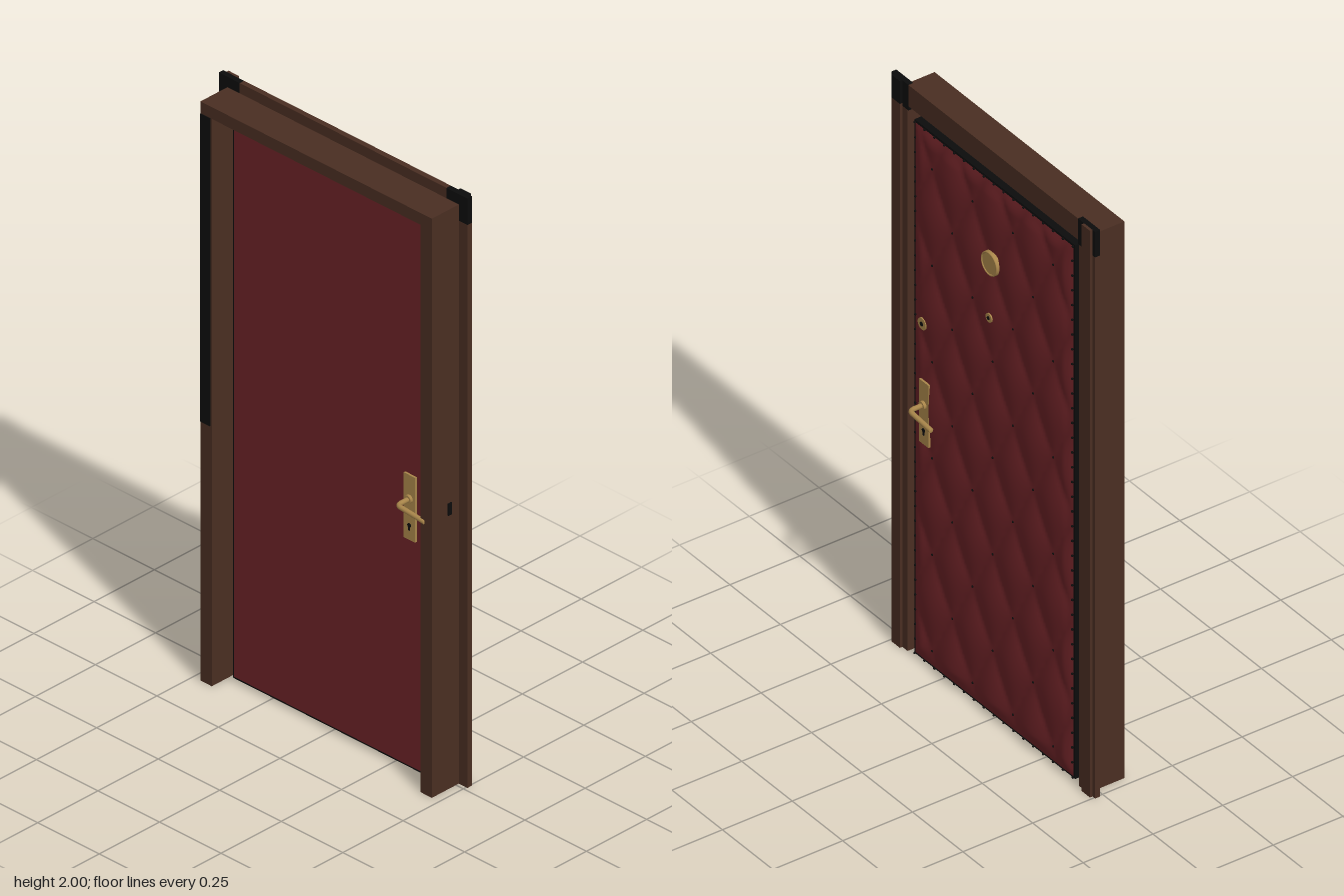
import * as THREE from 'three';

const material = (name, color) => {
  const m = new THREE.MeshStandardMaterial({ color });
  m.name = name;
  return m;
};

export function createModel() {
  const root = new THREE.Group();
  root.name = 'paddedDoor';
  const wood = material('darkWood', 0x4a2e22);
  const red = material('redLeather', 0x6b2226);
  const brass = material('brass', 0xa8854a);
  const black = material('black', 0x0c0c0c);

  const add = (name, geometry, mat, parent = root) => {
    const mesh = new THREE.Mesh(geometry, mat);
    mesh.name = name;
    parent.add(mesh);
    return mesh;
  };
  // Box given by its minimum and maximum on each axis
  const box = (name, mat, x0, x1, y0, y1, z0, z1, parent) => {
    const g = new THREE.BoxGeometry(x1 - x0, y1 - y0, z1 - z0);
    g.translate((x0 + x1) / 2, (y0 + y1) / 2, (z0 + z1) / 2);
    return add(name, g, mat, parent);
  };
  // Round disc facing along z
  const disc = (name, mat, r, depth, x, y, z, parent) => {
    const g = new THREE.CylinderGeometry(r, r, depth, 24).rotateX(Math.PI / 2);
    return add(name, g.translate(x, y, z), mat, parent);
  };

  // Frame: jambs and architraves, mirrored, with a header across
  const frame = new THREE.Group();
  frame.name = 'frame';
  root.add(frame);
  const sideBox = (s, name, mat, a, b, ...rest) =>
    box(name, mat, Math.min(s * a, s * b), Math.max(s * a, s * b), ...rest, frame);
  for (const s of [-1, 1]) {
    sideBox(s, 'jamb', wood, 0.424, 0.47, 0, 1.925, -0.012, 0.1);
    sideBox(s, 'architrave', wood, 0.424, 0.505, 0, 1.91, -0.03, -0.012);
    sideBox(s, 'cornerBlock', black, 0.42, 0.505, 1.91, 2, -0.03, -0.012);
    sideBox(s, 'architraveMoulding', wood, 0.45, 0.492, 0, 1.92, -0.039, -0.03);
    sideBox(s, 'mouldingTop', s > 0 ? black : wood, 0.45, 0.492, 1.92, 2, -0.039, -0.03);
  }
  box('header', wood, -0.47, 0.47, 1.925, 1.965, -0.012, 0.1, frame);
  box('headArchitrave', wood, -0.42, 0.42, 1.925, 2, -0.03, -0.012, frame);
  box('jambTrim', black, -0.469, -0.43, 0.88, 1.925, 0.1, 0.102, frame);
  box('lockKeeper', black, 0.468, 0.474, 0.93, 0.97, 0.02, 0.035, frame);

  // Door leaf: dark core, plain front panel
  const door = new THREE.Group();
  door.name = 'doorLeaf';
  root.add(door);
  box('doorCore', black, -0.402, 0.394, 0.01, 1.893, -0.027, 0.034, door);
  box('frontPanel', red, -0.394, 0.386, 0.018, 1.884, 0.034, 0.038, door);

  // Quilted back: diamonds swelling between a lattice of buttons
  const W = 0.784, H = 1.87, cx = -0.004, cy = 0.951;
  const rowY = 1.26, dx = 0.1, dy = 0.17;
  const pad = new THREE.PlaneGeometry(W, H, 80, 150).rotateY(Math.PI);
  pad.translate(cx, cy, 0);
  const pos = pad.attributes.position;
  for (let i = 0; i < pos.count; i++) {
    const x = pos.getX(i), y = pos.getY(i);
    const u = x / (2 * dx), v = (y - rowY) / (2 * dy);
    const swell = Math.abs(Math.sin(Math.PI * (u + v)) * Math.sin(Math.PI * (u - v)));
    const edge = Math.min(W / 2 - Math.abs(x - cx), H / 2 - Math.abs(y - cy));
    const fade = Math.min(1, Math.max(0, edge / 0.04));
    pos.setZ(i, -0.028 - 0.003 * Math.sqrt(fade) - 0.012 * fade * Math.pow(swell, 0.7));
  }
  pad.computeVertexNormals();
  add('quiltedPadding', pad, red, door);

  // Upholstery nails on the lattice and around the edge
  const nailGeometry = new THREE.SphereGeometry(0.004, 8, 6);
  const nail = (x, y) =>
    add('upholsteryNail', nailGeometry, black, door).position.set(x, y, -0.031);
  for (let j = -7; j <= 3; j++)
    for (let i = -3; i <= 3; i++)
      if ((i + j) % 2 === 0) nail(i * dx, rowY + j * dy);
  for (let i = 0; i <= 16; i++)
    for (const y of [0.014, 1.888]) nail(cx - W / 2 + (W * i) / 16, y);
  for (let i = 1; i < 36; i++)
    for (const x of [cx - W / 2 + 0.003, cx + W / 2 - 0.003]) nail(x, 0.014 + (1.874 * i) / 36);

  // Lever handle set: plate, keyhole and bent lever on each face
  const handleSet = (name, z, dir, tipX) => {
    const g = new THREE.Group();
    g.name = name;
    root.add(g);
    const z0 = z, z1 = z + dir * 0.007;
    box('handlePlate', brass, 0.302, 0.348, 0.79, 1.01, Math.min(z0, z1), Math.max(z0, z1), g);
    disc('keyhole', black, 0.007, 0.002, 0.325, 0.84, z1 + dir * 0.001, g);
    box('keyholeSlot', black, 0.322, 0.328, 0.823, 0.84, z1 - 0.002, z1 + 0.002, g);
    disc('handleCollar', brass, 0.014, 0.01, 0.325, 0.93, z1 + dir * 0.004, g);
    const out = z + dir * 0.06, side = Math.sign(tipX - 0.325);
    const path = new THREE.CurvePath();
    const a = new THREE.Vector3(0.325, 0.93, z), b = new THREE.Vector3(0.325, 0.93, out - dir * 0.02);
    const c = new THREE.Vector3(0.325, 0.93, out), d = new THREE.Vector3(0.325 + side * 0.02, 0.93, out);
    const tip = new THREE.Vector3(tipX, 0.922, out);
    path.add(new THREE.LineCurve3(a, b));
    path.add(new THREE.QuadraticBezierCurve3(b, c, d));
    path.add(new THREE.LineCurve3(d, tip));
    add('lever', new THREE.TubeGeometry(path, 40, 0.008, 12), brass, g);
    const cap = new THREE.SphereGeometry(0.008, 12, 8).scale(0.3, 1, 1);
    add('leverTip', cap, brass, g).position.copy(tip);
  };
  handleSet('frontHandle', 0.038, 1, 0.438);
  handleSet('backHandle', -0.037, -1, 0.215);

  // Upper lock cylinder, peephole and plain round door plate on the back
  disc('lockRosette', brass, 0.02, 0.016, 0.335, 1.21, -0.036);
  disc('lockHole', black, 0.007, 0.002, 0.335, 1.21, -0.045);
  disc('peephole', brass, 0.015, 0.018, 0, 1.42, -0.038);
  disc('peepholeLens', black, 0.006, 0.002, 0, 1.42, -0.048);
  disc('roundPlate', brass, 0.04, 0.014, 0, 1.61, -0.037);
  const rim = new THREE.TorusGeometry(0.037, 0.003, 8, 32);
  add('roundPlateRim', rim, brass).position.set(0, 1.61, -0.044);

  return root;
}
